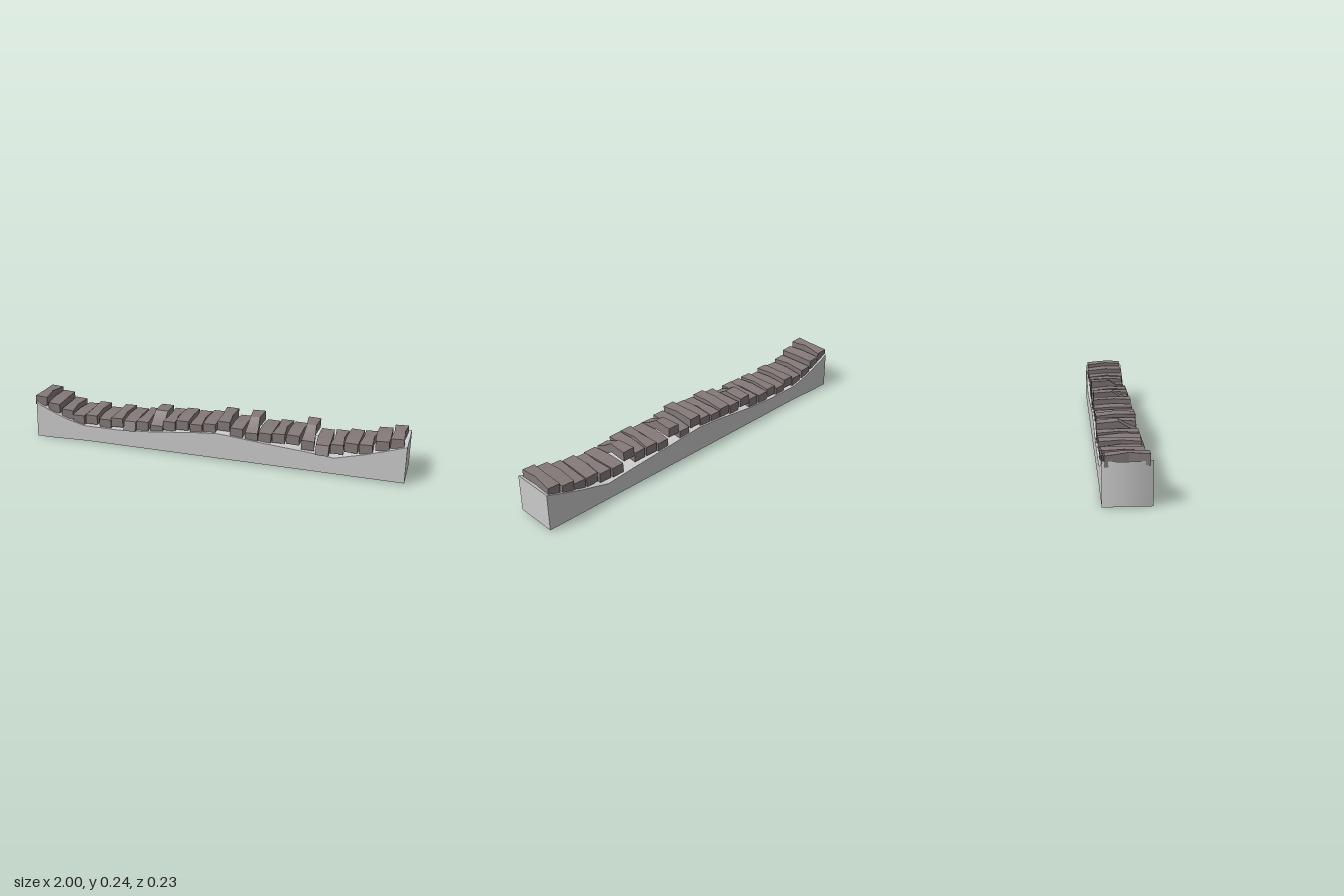
import * as THREE from 'three';
import { toCreasedNormals } from 'three/addons/utils/BufferGeometryUtils.js';

const stone = new THREE.MeshStandardMaterial({ color: 0xcccccc });
const brick = new THREE.MeshStandardMaterial({ color: 0x857a7a });

// Piecewise linear height along x, smoothed between points
const profile = [[-1, 0.205], [-0.93, 0.18], [-0.82, 0.13], [-0.7, 0.1], [-0.5, 0.1], [-0.3, 0.115],
  [-0.1, 0.14], [0.05, 0.152], [0.3, 0.13], [0.5, 0.115], [0.65, 0.1], [0.8, 0.14], [0.9, 0.172], [1, 0.207]];
function groundHeight(x) {
  let i = 0;
  while (i < profile.length - 2 && x > profile[i + 1][0]) i++;
  const [x0, y0] = profile[i], [x1, y1] = profile[i + 1];
  return y0 + (y1 - y0) * THREE.MathUtils.clamp((x - x0) / (x1 - x0), 0, 1);
}

// Move every vertex of a geometry by a rule
function reshape(geometry, rule) {
  const p = geometry.attributes.position, v = new THREE.Vector3();
  for (let i = 0; i < p.count; i++) {
    rule(v.fromBufferAttribute(p, i));
    p.setXYZ(i, v.x, v.y, v.z);
  }
  return geometry;
}

// Long wall with a sagging top and a bulging left end
function makeWall() {
  const geo = reshape(new THREE.BoxGeometry(2, 1, 2, 40, 4, 6), v => {
    const s = v.z, t = v.y + 0.5;
    const left = THREE.MathUtils.smoothstep(-v.x, 0.65, 0.95);
    const bottom = 0.009 - 0.008 * left * Math.abs(s);
    const top = groundHeight(v.x) + 0.008 * (1 - s * s) * (1 - Math.abs(v.x)) - 0.004;
    v.y = bottom + (top - bottom) * t;
    v.z = -0.006 + 0.109 * s;
    if (v.x < -0.99) v.x += 0.016 * s * s + 0.008 * t;
  });
  const mesh = new THREE.Mesh(toCreasedNormals(geo, 0.7), stone);
  mesh.name = 'wall';
  return mesh;
}

// Highest point of each capping block, from -x to +x
const tops = [0.235, 0.205, 0.175, 0.153, 0.163, 0.147, 0.163, 0.158, 0.163, 0.195, 0.18, 0.195, 0.185, 0.195,
  0.217, 0.19, 0.222, 0.18, 0.19, 0.19, 0.217, 0.163, 0.168, 0.185, 0.19, 0.217, 0.238];
// Blocks whose front end drops, and blocks whose front end sticks out
const drops = { 9: 0.05, 16: 0.05, 20: 0.05 };
const sticksOut = { 7: 0.018, 21: 0.018 };

let seed = 7;
function random(a, b) {
  seed = (seed * 16807) % 2147483647;
  return a + (b - a) * (seed / 2147483647);
}

// Block with a narrowed or swollen waist and slightly bent ends
function makeBlock(i) {
  const drop = drops[i] ?? 0.004, out = sticksOut[i] ?? 0;
  const waist = i % 2 ? random(0.96, 1.06) : random(0.62, 0.78);
  const backDrop = random(0.002, 0.012), shear = random(-0.04, 0.04);
  const front = 0.094 + random(-0.006, 0.003) + out, back = -0.108 + random(-0.002, 0.008);
  const geo = reshape(new THREE.BoxGeometry(0.069, 0.05, 2, 1, 1, 4), v => {
    const s = v.z, a = Math.abs(s);
    const width = a < 0.1 ? waist : a < 0.6 ? (1 + waist) / 2 : 0.95;
    const sag = s > 0 ? drop * Math.min(1, s * 1.2) : backDrop * a;
    const lean = out ? 0.35 * v.y * Math.max(s, 0) : 0;
    v.z = s > 0 ? front * s - lean : -back * s;
    v.y -= sag;
    v.x = v.x * width + shear * v.z;
  });
  const mesh = new THREE.Mesh(toCreasedNormals(geo, 0.2), brick);
  mesh.name = 'cappingBlock' + (i + 1);
  mesh.position.set(-0.952 + i * 0.0732, tops[i] - 0.026, 0);
  // End blocks follow the slope of the wall a little
  mesh.rotation.z = i < 3 ? -0.06 : i > 23 ? 0.05 : random(-0.03, 0.03);
  return mesh;
}

export function createModel() {
  const model = new THREE.Group();
  model.name = 'cappedWall';
  model.add(makeWall());
  const capping = new THREE.Group();
  capping.name = 'capping';
  tops.forEach((_, i) => capping.add(makeBlock(i)));
  model.add(capping);
  return model;
}
